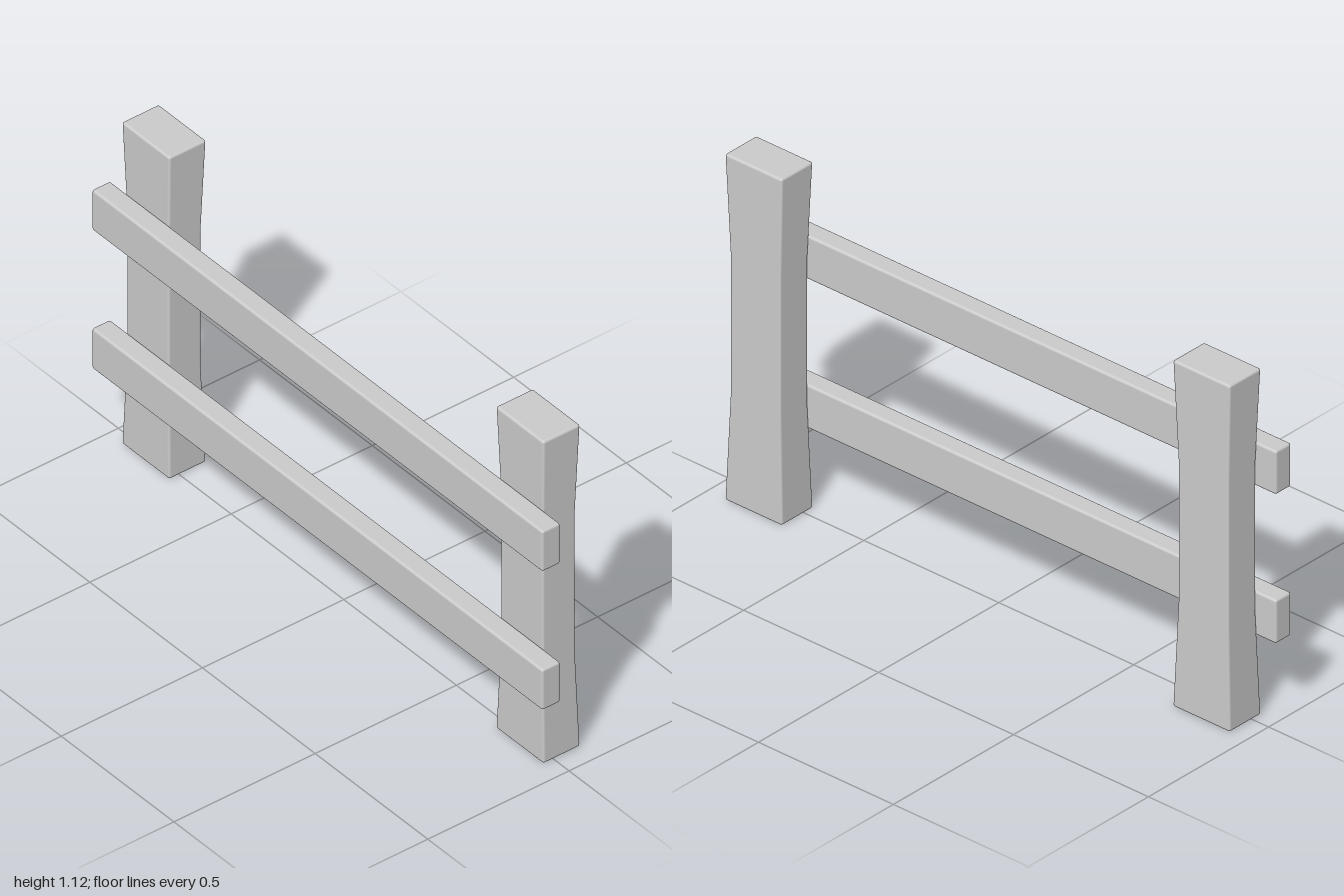
import * as THREE from 'three';
import { RoundedBoxGeometry } from 'three/addons/geometries/RoundedBoxGeometry.js';

const material = new THREE.MeshStandardMaterial({ color: 0xcccccc });
const HEIGHT = 1.12;
const BEVEL = 0.008;

// Grid lines along one axis: close together at the bevels, plus optional inner lines
function gridLines(half, inner = []) {
  const h = half, b = BEVEL;
  return [-h, -h + b / 2, -h + b, ...inner, h - b, h - b / 2, h];
}

// Soft-edged post, slim in the middle and flaring toward both ends
function postGeometry() {
  const half = new THREE.Vector3(0.106, HEIGHT / 2, 0.066);
  const kinks = [0.34 - half.y, 0.80 - half.y];
  const lines = [gridLines(half.x), gridLines(half.y, kinks), gridLines(half.z)];
  const counts = lines.map((l) => l.length - 1);
  const geometry = new THREE.BoxGeometry(1, 1, 1, ...counts);
  const core = half.clone().subScalar(BEVEL);
  const p = new THREE.Vector3(), inside = new THREE.Vector3(), n = new THREE.Vector3();
  const { position, normal } = geometry.attributes;
  for (let i = 0; i < position.count; i++) {
    p.fromBufferAttribute(position, i);
    // Move onto the uneven grid, then round the edges
    p.set(...p.toArray().map((v, a) => lines[a][Math.round((v + 0.5) * counts[a])]));
    inside.copy(p).clamp(core.clone().negate(), core);
    n.subVectors(p, inside).normalize();
    p.copy(inside).addScaledVector(n, BEVEL);
    // Flare: full size at the ends, slimmer between the kinks
    const below = (kinks[0] - p.y) / (kinks[0] + half.y);
    const above = (p.y - kinks[1]) / (half.y - kinks[1]);
    const flare = Math.max(0, below, above);
    const scale = 0.88 + 0.12 * flare;
    position.setXYZ(i, p.x * scale, p.y, p.z * scale);
    normal.setXYZ(i, n.x, n.y, n.z);
  }
  return geometry;
}

export function createModel() {
  const model = new THREE.Group();
  model.name = 'fence';

  const add = (name, geometry, x, y, z) => {
    const mesh = new THREE.Mesh(geometry, material);
    mesh.name = name;
    mesh.position.set(x, y, z);
    model.add(mesh);
  };

  // Two upright posts
  const post = postGeometry();
  add('rightPost', post, -0.834, HEIGHT / 2, -0.029);
  add('leftPost', post, 0.826, HEIGHT / 2, -0.029);

  // Two long rails fixed to the front of the posts
  const rail = new RoundedBoxGeometry(2, 0.141, 0.065, 2, BEVEL);
  add('lowerRail', rail, 0, 0.324, 0.0625);
  add('upperRail', rail, 0, 0.806, 0.0625);

  return model;
}
